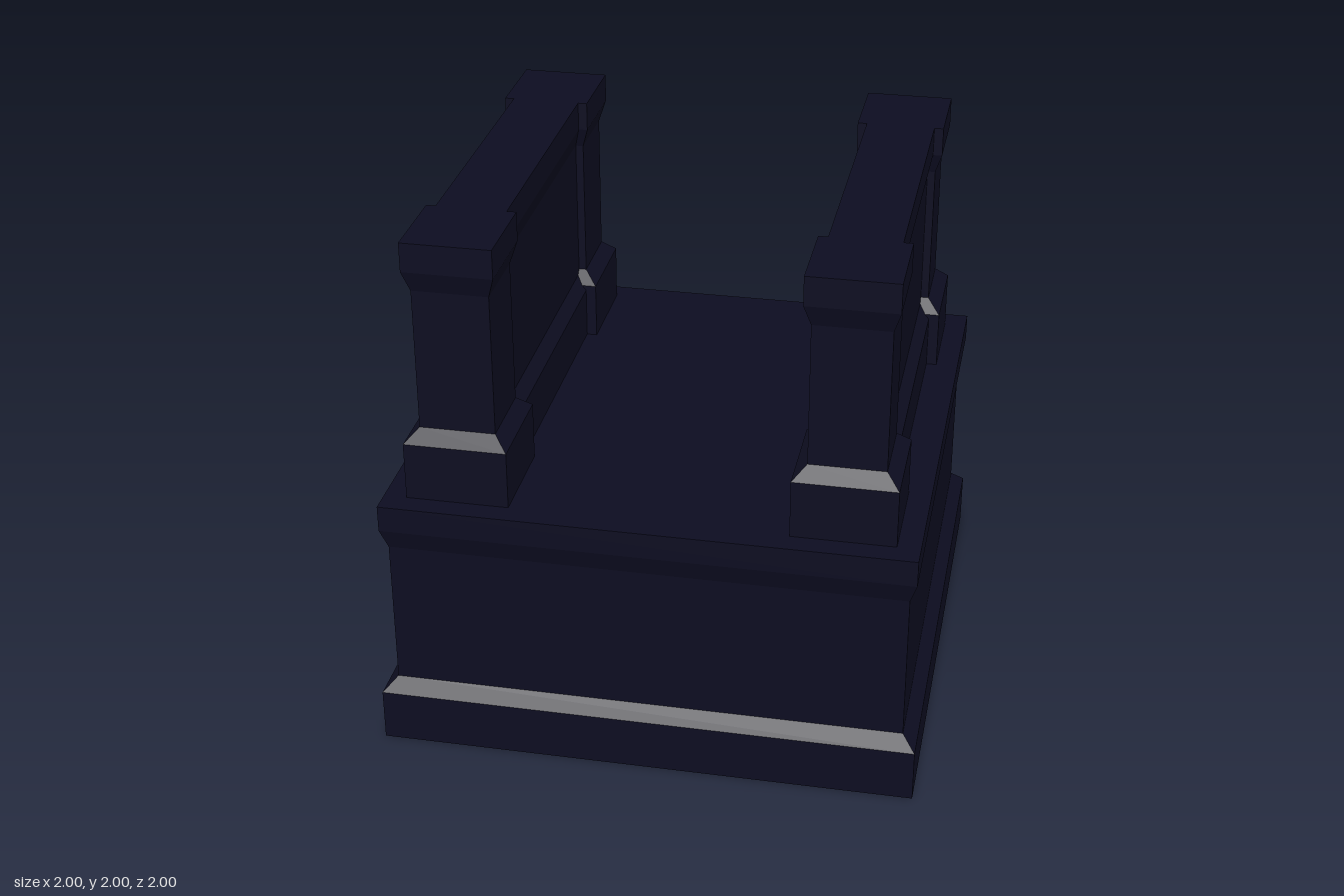
import * as THREE from 'three';

// Moulding outlines as [half width, height]
const BASE = [[1, 0], [1, 0.2], [0.95, 0.25], [0.95, 0.82], [0.975, 0.9], [0.975, 1]];
const POST = [[0.19, 1], [0.19, 1.22], [0.14, 1.27], [0.14, 1.81], [0.165, 1.89], [0.165, 2]];
const WALL = [[0.15, 1], [0.15, 1.2], [0.11, 1.25], [0.11, 1.81], [0.13, 1.89], [0.13, 2]];

// Square block with the outline on all four sides, closed top and bottom
function mouldedBlock(outline) {
  const points = outline.map(([w, y]) => new THREE.Vector2(w * Math.SQRT2, y));
  points.unshift(new THREE.Vector2(0, outline[0][1]));
  points.push(new THREE.Vector2(0, outline[outline.length - 1][1]));
  const geometry = new THREE.LatheGeometry(points, 4, Math.PI / 4).toNonIndexed();
  geometry.computeVertexNormals();
  return geometry;
}

// Straight run with the outline on both long sides
function mouldedRun(outline, length) {
  const right = outline.map(([w, y]) => new THREE.Vector2(w, y));
  const left = outline.map(([w, y]) => new THREE.Vector2(-w, y)).reverse();
  const geometry = new THREE.ExtrudeGeometry(new THREE.Shape([...right, ...left]), {
    depth: length,
    bevelEnabled: false,
  });
  geometry.translate(0, 0, -length / 2);
  return geometry;
}

export function createModel() {
  const model = new THREE.Group();
  model.name = 'pedestal';

  const stone = new THREE.MeshStandardMaterial({ color: 0x0d0d21 });
  stone.name = 'dark navy stone';

  const add = (name, geometry, x = 0, z = 0) => {
    const mesh = new THREE.Mesh(geometry, stone);
    mesh.name = name;
    mesh.position.set(x, 0, z);
    model.add(mesh);
  };

  // Base block
  add('base', mouldedBlock(BASE));

  // A parapet wall between two corner posts on each side
  const post = mouldedBlock(POST);
  const wall = mouldedRun(WALL, 1.2);
  for (const [side, x] of [['left', 0.7], ['right', -0.7]]) {
    add(`${side}Wall`, wall, x);
    add(`${side}FrontPost`, post, x, 0.7);
    add(`${side}BackPost`, post, x, -0.7);
  }
  return model;
}
